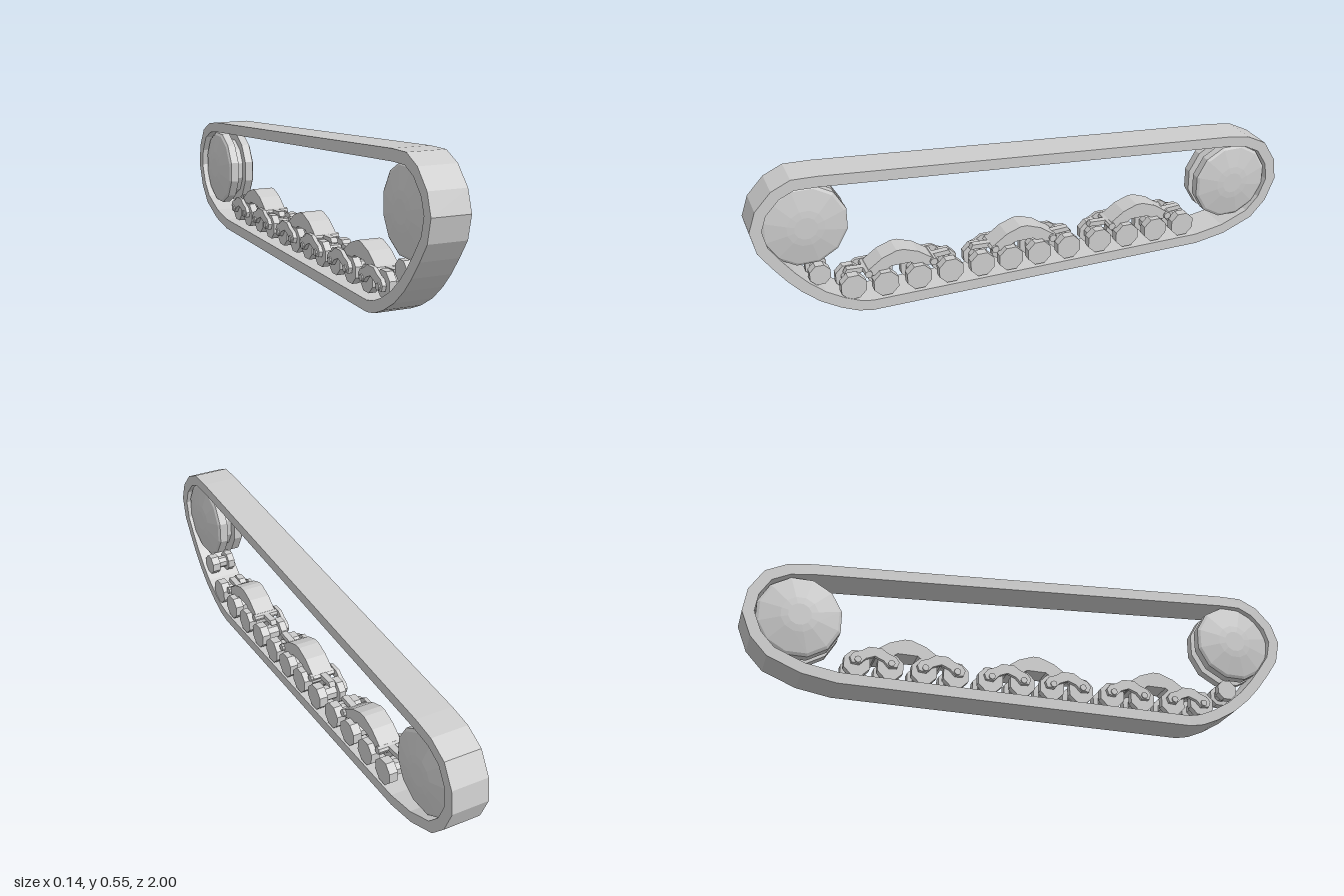
import * as THREE from 'three';

const steel = new THREE.MeshStandardMaterial({ color: 0xcccccc, flatShading: true });
steel.name = 'steel grey';

// Plate from a [z, y] outline, extruded across x0..x1
function plate(points, x0, x1, hole) {
  const toVec = ([z, y]) => new THREE.Vector2(-z, y);
  const shape = new THREE.Shape(points.map(toVec));
  if (hole) shape.holes.push(new THREE.Path(hole.map(toVec)));
  const geo = new THREE.ExtrudeGeometry(shape, { depth: x1 - x0, bevelEnabled: false });
  return geo.rotateY(Math.PI / 2).translate(x0, 0, 0);
}

// Wheel turned about the x axis from a [radius, x] profile
function turned(profile, sides) {
  const geo = new THREE.LatheGeometry(profile.map(([r, x]) => new THREE.Vector2(r, x)), sides, Math.PI / sides);
  return geo.rotateZ(-Math.PI / 2);
}

// Move a closed clockwise outline inwards by d
function inset(points, d) {
  const n = points.length;
  const normal = (a, b) => {
    const dz = b[0] - a[0], dy = b[1] - a[1], l = Math.hypot(dz, dy);
    return [dy / l, -dz / l];
  };
  return points.map((p, i) => {
    const a = normal(points[(i + n - 1) % n], p);
    const b = normal(p, points[(i + 1) % n]);
    const k = d / (1 + a[0] * b[0] + a[1] * b[1]);
    return [p[0] + (a[0] + b[0]) * k, p[1] + (a[1] + b[1]) * k];
  });
}

export function createModel() {
  const model = new THREE.Group();
  model.name = 'trackUnit';
  const add = (name, geo, z = 0, y = 0) => {
    const mesh = new THREE.Mesh(geo, steel);
    mesh.name = name;
    mesh.position.set(0, y, z);
    model.add(mesh);
  };

  // Continuous track belt
  const belt = [
    [0.61, 0], [-0.67, 0], [-0.79, 0.02], [-0.906, 0.067], [-0.965, 0.13], [-1, 0.217],
    [-0.988, 0.3], [-0.94, 0.377], [-0.865, 0.414], [-0.78, 0.427], [0.76, 0.546], [0.85, 0.548],
    [0.917, 0.517], [0.975, 0.455], [1, 0.383], [0.982, 0.302], [0.94, 0.24],
    [0.895, 0.18], [0.85, 0.13], [0.79, 0.078], [0.72, 0.036], [0.66, 0.01],
  ];
  // The listed order runs towards -z along the bottom, clockwise in [z, y]
  add('trackBelt', plate(belt, -0.069, 0.065, inset(belt, 0.039)));

  // Large end wheels with domed faces and a centre groove
  const half = [[0.118, 0.014], [0.148, 0.015], [0.148, 0.046], [0.138, 0.052], [0.065, 0.0655], [0.04, 0.068], [0, 0.068]];
  const bigWheel = turned([...half.map(([r, x]) => [r, -x]).reverse(), ...half], 12);
  add('frontWheel', bigWheel, 0.815, 0.365);
  add('rearWheel', bigWheel, -0.81, 0.233);

  // Spool-shaped rollers: two discs on an axle, from x0 to x1
  const spool = (r, x0, x1) => turned([
    [0, x0], [r, x0], [r, x0 + 0.026], [r * 0.6, x0 + 0.027],
    [r * 0.6, x1 - 0.033], [r, x1 - 0.032], [r, x1], [0, x1],
  ], 8);
  add('returnRoller', spool(0.039, -0.042, 0.053), 0.78, 0.172);
  const roadWheel = spool(0.048, -0.044, 0.063);
  const wheelZ = [0.67, 0.555, 0.435, 0.318, 0.2, 0.09, -0.02, -0.136, -0.26, -0.372, -0.49, -0.605];
  wheelZ.forEach((z, i) => add('roadWheel', roadWheel, z, i === 0 ? 0.104 : 0.093));

  // Curved arm and hub caps linking each pair of road wheels
  const arm = plate([
    [0.078, -0.014], [0.085, 0.006], [0.072, 0.024], [0.045, 0.034], [0.022, 0.05], [-0.022, 0.05],
    [-0.045, 0.034], [-0.072, 0.024], [-0.085, 0.006], [-0.078, -0.014], [-0.05, -0.016],
    [-0.03, 0.006], [0, 0.018], [0.03, 0.006], [0.05, -0.016],
  ], -0.06, -0.046);
  const cap = new THREE.CylinderGeometry(0.012, 0.012, 0.022, 8).rotateZ(Math.PI / 2).translate(-0.054, 0, 0);
  const pivot = new THREE.CylinderGeometry(0.014, 0.014, 0.1, 8).rotateZ(Math.PI / 2);
  for (let i = 0; i < wheelZ.length; i += 2) {
    const mid = (wheelZ[i] + wheelZ[i + 1]) / 2;
    add('pairArm', arm, mid, 0.1);
    add('armPivot', pivot, mid, 0.135);
    add('hubCap', cap, wheelZ[i], 0.098);
    add('hubCap', cap, wheelZ[i + 1], 0.098);
  }

  // Wide arched beam over each group of four wheels
  const arch = plate([
    [0.13, 0.138], [0.065, 0.184], [0.012, 0.203], [-0.012, 0.203], [-0.065, 0.184], [-0.13, 0.138],
    [-0.11, 0.122], [-0.065, 0.125], [-0.035, 0.147], [0.035, 0.147], [0.065, 0.125], [0.11, 0.122],
  ], -0.041, 0.041);
  // Slim tails reaching out over the outer wheels
  const tails = [1, -1].map((s) => plate(
    [[0.11, 0.126], [0.195, 0.132], [0.185, 0.149], [0.11, 0.145]].map(([z, y]) => [s * z, y]), -0.012, 0.012));
  for (const z of [0.495, 0.033, -0.432]) {
    add('archBeam', arch, z, 0);
    for (const tail of tails) add('beamTail', tail, z, 0);
  }
  return model;
}
